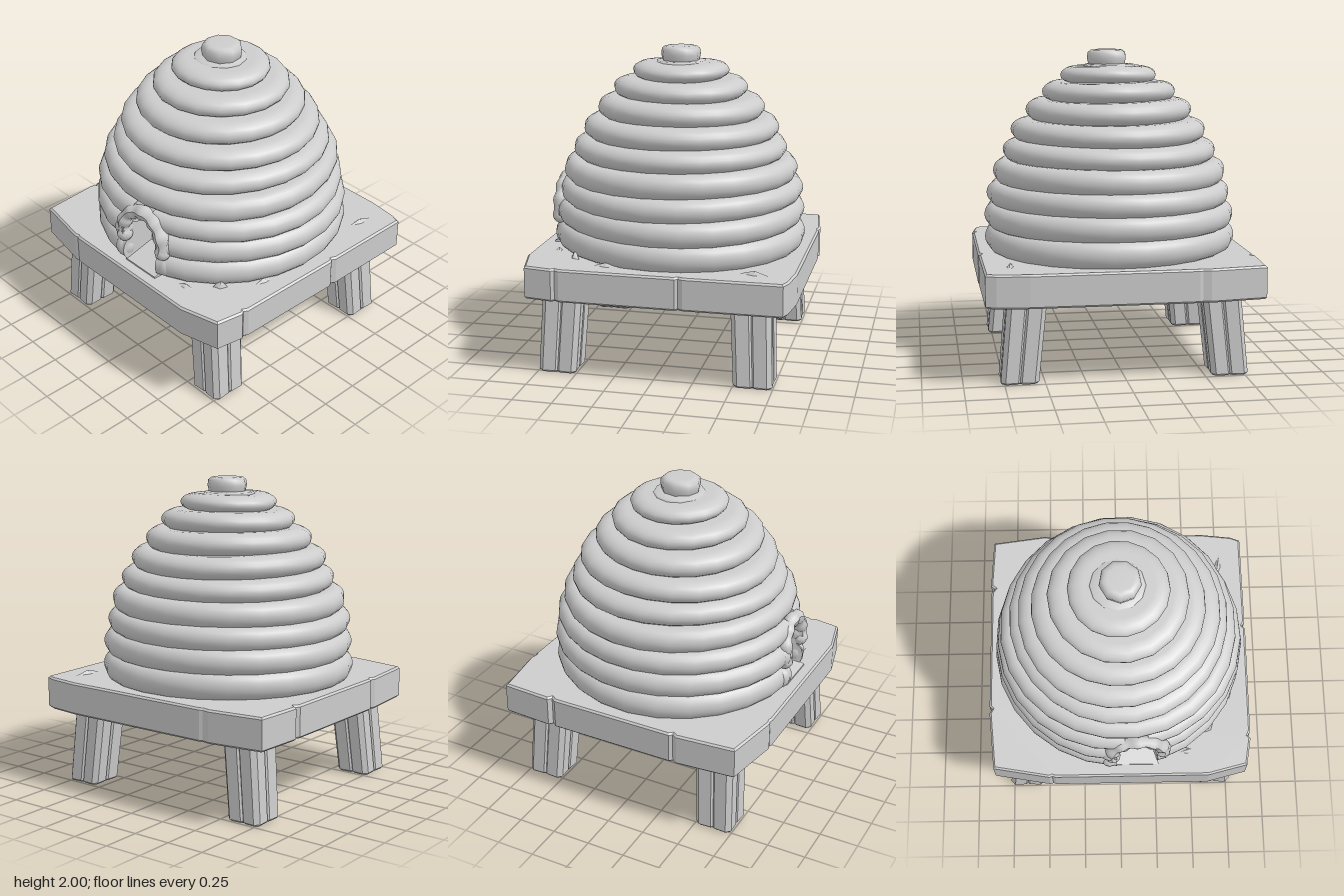
import * as THREE from 'three';

const straw = new THREE.MeshStandardMaterial({ color: 0xcccccc, side: THREE.DoubleSide });
straw.name = 'plainGrey';

function add(parent, geometry, name, x = 0, y = 0, z = 0) {
  const mesh = new THREE.Mesh(geometry, straw);
  mesh.name = name;
  mesh.position.set(x, y, z);
  parent.add(mesh);
  return mesh;
}

const shapeOf = (pts) => new THREE.Shape(pts.map(([x, y]) => new THREE.Vector2(x, y)));

// Extrudes a plan outline upward from y = 0 to the given height, with bevelled rims
function upright(pts, height, bevel) {
  const g = new THREE.ExtrudeGeometry(shapeOf(pts), {
    depth: height - 2 * bevel, bevelThickness: bevel, bevelSize: bevel,
    bevelOffset: -bevel, bevelSegments: 1,
  });
  return g.rotateX(-Math.PI / 2).translate(0, bevel, 0);
}

// Coils: bottom height, top height, outer radius, half angle left open for the door
const coils = [
  [0.71, 0.865, 0.82, 0.165], [0.865, 1.01, 0.815, 0.165], [1.01, 1.145, 0.795, 0.1],
  [1.145, 1.285, 0.76, 0], [1.285, 1.415, 0.695, 0], [1.415, 1.545, 0.635, 0],
  [1.545, 1.675, 0.54, 0], [1.675, 1.79, 0.435, 0], [1.79, 1.89, 0.312, 0],
];
const DOOR_X = 0.11;
const DOOR_ANGLE = 0.138;

function coilProfile(bottom, top, radius) {
  const mid = (bottom + top) / 2, half = (top - bottom) * 0.56;
  const depth = radius > 0.7 ? 0.075 : 0.095;
  const inner = Math.max(radius - 0.27, 0.01);
  const pts = [new THREE.Vector2(inner, mid - half)];
  for (let i = 0; i <= 10; i++) {
    const a = -Math.PI / 2 + (i / 10) * Math.PI;
    pts.push(new THREE.Vector2(radius - depth + depth * Math.cos(a), mid + half * Math.sin(a)));
  }
  pts.push(new THREE.Vector2(inner, mid + half));
  return pts;
}

function buildHive() {
  const hive = new THREE.Group();
  hive.name = 'hive';
  hive.position.z = -0.005;

  coils.forEach(([bottom, top, radius, gap], i) => {
    const profile = coilProfile(bottom, top, radius);
    const g = new THREE.LatheGeometry(profile, radius > 0.5 ? 24 : 18,
      DOOR_ANGLE + gap, Math.PI * 2 - 2 * gap);
    // Slight hand-made waviness
    const p = g.attributes.position;
    for (let k = 0; k < p.count; k++) {
      const a = Math.atan2(p.getX(k), p.getZ(k));
      const s = 1 + 0.007 * Math.sin(3 * a + i * 1.9);
      p.setXYZ(k, p.getX(k) * s, p.getY(k) + 0.004 * Math.sin(2 * a + i), p.getZ(k) * s);
    }
    add(hive, g, 'coil' + (i + 1));
    if (!gap) return;
    // Closed, rounded ends on either side of the door
    for (const side of [-1, 1]) {
      const a = DOOR_ANGLE + side * gap;
      const cap = add(hive, new THREE.ShapeGeometry(new THREE.Shape(profile)), 'coilEnd');
      cap.rotation.y = a - Math.PI / 2;
      if (i > 1) continue;
      const b = DOOR_ANGLE + side * (gap + 0.065);
      const knuckle = add(hive, new THREE.SphereGeometry(0.07, 12, 8), 'coilKnuckle',
        Math.sin(b) * 0.765, (bottom + top) / 2, Math.cos(b) * 0.765);
      knuckle.scale.set(0.85, 1.05, 0.9);
    }
  });

  // Inner wall behind the door
  add(hive, new THREE.CylinderGeometry(0.56, 0.6, 0.46, 24, 1, true), 'innerWall', 0, 0.93, 0);

  // Collar and knob on the crown
  const lathe = (pts, n) =>
    new THREE.LatheGeometry(pts.map(([x, y]) => new THREE.Vector2(x, y)), n);
  add(hive, lathe([[0.17, 1.86], [0.175, 1.885], [0.16, 1.905], [0.1, 1.91]], 12), 'collar', -0.005, 0, 0);
  add(hive, lathe([[0.11, 1.88], [0.122, 1.91], [0.13, 1.945], [0.125, 1.98],
    [0.105, 1.996], [0.08, 2], [0.001, 2]], 9), 'knob', 0.01, 0, 0);
  return hive;
}

function buildDoor() {
  const door = new THREE.Group();
  door.name = 'door';
  // Lumpy arch following the curve of the hive
  const path = new THREE.CatmullRomCurve3([
    [-0.05, 0.9, 0.775], [-0.055, 0.96, 0.775], [-0.03, 1.04, 0.765], [0.03, 1.095, 0.75],
    [0.11, 1.115, 0.745], [0.19, 1.095, 0.74], [0.25, 1.03, 0.74], [0.28, 0.95, 0.74],
    [0.275, 0.9, 0.74],
  ].map((q) => new THREE.Vector3(...q)));
  const steps = 40, sides = 8;
  const g = new THREE.TubeGeometry(path, steps, 0.046, sides);
  const p = g.attributes.position, v = new THREE.Vector3();
  for (let i = 0; i <= steps; i++) {
    const c = path.getPointAt(i / steps);
    const s = 1 + 0.12 * Math.cos((i / steps) * Math.PI * 12);
    for (let j = 0; j <= sides; j++) {
      const k = i * (sides + 1) + j;
      v.fromBufferAttribute(p, k).sub(c).multiplyScalar(s).add(c);
      p.setXYZ(k, v.x, v.y, v.z);
    }
  }
  g.computeVertexNormals();
  add(door, g, 'doorArch');
  for (const u of [0, 1]) {
    const c = path.getPointAt(u);
    add(door, new THREE.SphereGeometry(0.052, 10, 8), 'archEnd', c.x, c.y, c.z);
  }
  // Sloping sill
  const sill = new THREE.ExtrudeGeometry(
    shapeOf([[0.55, 0.7], [0.79, 0.7], [0.79, 0.72], [0.6, 0.775], [0.55, 0.775]]),
    { depth: 0.28, bevelEnabled: false });
  sill.rotateY(-Math.PI / 2);
  add(door, sill, 'doorSill', DOOR_X + 0.14, 0, 0);
  return door;
}

function buildStand() {
  const stand = new THREE.Group();
  stand.name = 'stand';
  // Worn table top with nicked edges (plan outline as x, -z)
  const outline = [
    [-0.84, -0.8], [-0.47, -0.865], [-0.45, -0.858], [-0.43, -0.865], [0.58, -0.865],
    [0.84, -0.8], [0.87, -0.62], [0.855, -0.6], [0.87, -0.57], [0.872, 0.16],
    [0.855, 0.18], [0.87, 0.21], [0.865, 0.82], [0.8, 0.845], [0.6, 0.868],
    [-0.43, 0.87], [-0.45, 0.862], [-0.5, 0.872], [-0.86, 0.825], [-0.877, 0.5],
    [-0.85, 0.48], [-0.872, 0.45], [-0.872, -0.37], [-0.855, -0.39], [-0.872, -0.42],
  ];
  add(stand, upright(outline, 0.21, 0.012), 'tableTop', 0, 0.5, 0);

  // Raised splinters near the front corner
  for (const [x, z, h, w, turn] of [[0.59, 0.545, 0.06, 0.05, 0.8], [0.73, 0.3, 0.03, 0.1, 1.5],
    [0.44, 0.7, 0.025, 0.07, 0.3], [0.7, -0.62, 0.03, 0.11, 1.4]]) {
    const chip = add(stand, new THREE.ConeGeometry(1, 1, 4), 'splinter', x, 0.705 + h / 2, z);
    chip.scale.set(w, h, 0.025);
    chip.rotation.y = turn;
  }

  // Splayed legs with chamfered corners and a split down the sides
  const quarter = [[-0.095, -0.125], [-0.012, -0.12], [0, -0.108], [0.012, -0.12], [0.095, -0.125]];
  const section = [];
  for (let k = 0; k < 4; k++) {
    for (const [x, y] of quarter) {
      const a = (k * Math.PI) / 2;
      section.push([x * Math.cos(a) - y * Math.sin(a), x * Math.sin(a) + y * Math.cos(a)]);
    }
  }
  for (const sx of [-1, 1]) {
    for (const sz of [-1, 1]) {
      const g = upright(section, 0.52, 0.012);
      const p = g.attributes.position;
      for (let k = 0; k < p.count; k++) {
        const t = 1 - p.getY(k) / 0.52;
        const s = 0.98 - 0.04 * t;
        p.setX(k, p.getX(k) * s + sx * (0.605 + 0.052 * t));
        p.setZ(k, p.getZ(k) * (s + 0.04) + sz * (0.6 + 0.025 * t));
      }
      g.computeVertexNormals();
      add(stand, g, (sz > 0 ? 'front' : 'back') + (sx > 0 ? 'Left' : 'Right') + 'Leg');
    }
  }
  return stand;
}

export function createModel() {
  const model = new THREE.Group();
  model.name = 'strawBeehive';
  model.add(buildStand(), buildHive(), buildDoor());
  return model;
}
